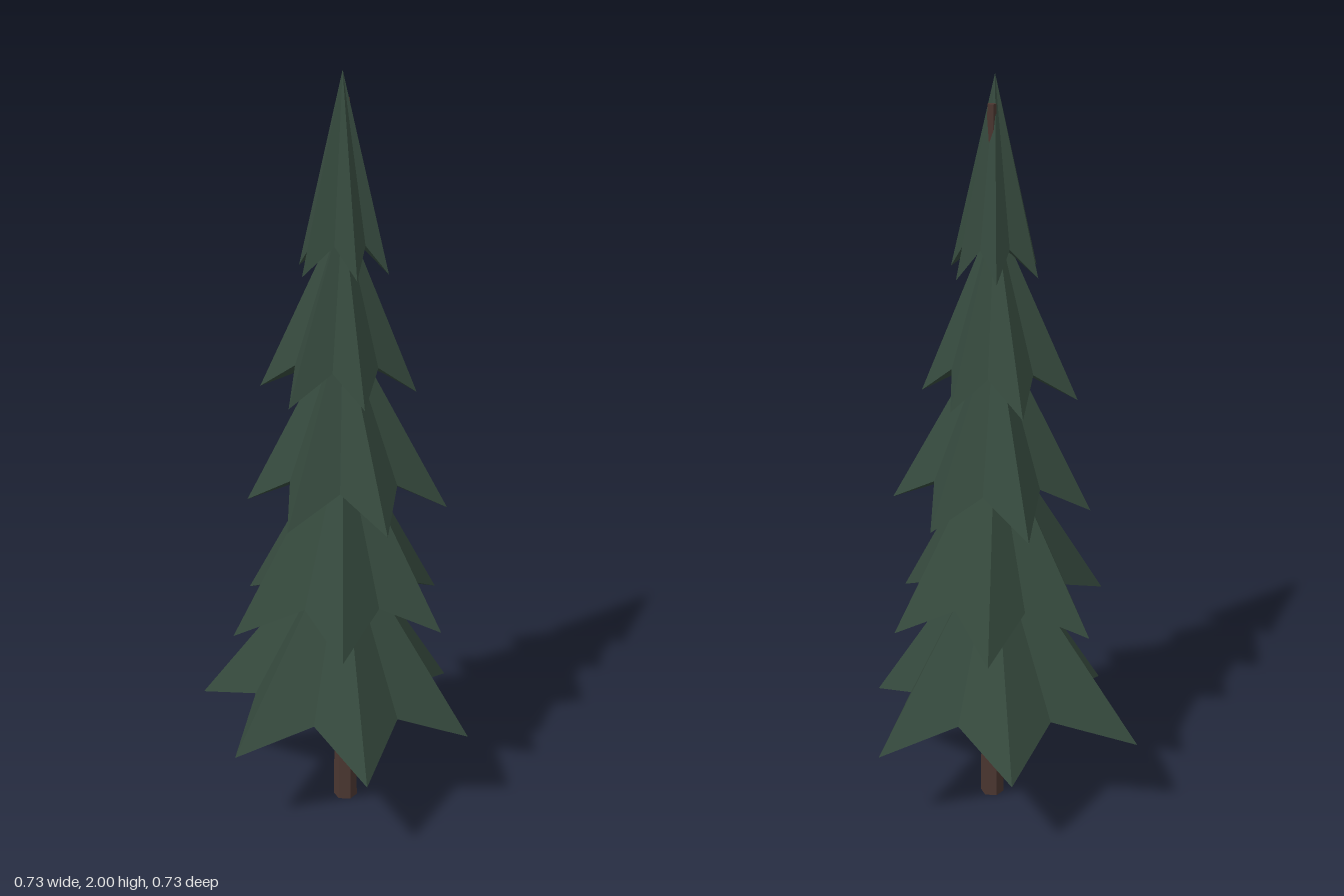
import * as THREE from 'three';

const needles = new THREE.MeshStandardMaterial({ color: 0x35493d });
needles.name = 'needleGreen';
needles.flatShading = true;
const bark = new THREE.MeshStandardMaterial({ color: 0x4b3731 });
bark.name = 'barkBrown';
bark.flatShading = true;

// Each tier: apex height, tip height, notch height, six branch tips [x, z]
// running from the left side (+x) round through the front.
const TIERS = [
  { apex: 0.8, tip: 0.245, notch: 0.33, tips: [[0.36, -0.1], [0.24, 0.25], [-0.12, 0.365], [-0.365, 0.08], [-0.3, -0.3], [0.09, -0.365]] },
  { apex: 1.09, tip: 0.565, notch: 0.645, tips: [[0.285, -0.03], [0.16, 0.235], [-0.15, 0.285], [-0.335, 0.015], [-0.175, -0.25], [0.13, -0.3]] },
  { apex: 1.38, tip: 0.875, notch: 0.96, tips: [[0.21, -0.11], [0.22, 0.145], [-0.01, 0.255], [-0.225, 0.12], [-0.225, -0.135], [0.005, -0.265]] },
  { apex: 1.66, tip: 1.185, notch: 1.265, tips: [[0.145, -0.09], [0.155, 0.09], [-0.03, 0.165], [-0.195, 0.07], [-0.185, -0.13], [0, -0.21]] },
  { apex: 2.0, tip: 1.505, notch: 1.58, tips: [[0.105, -0.03], [0.07, 0.095], [-0.03, 0.12], [-0.135, 0.025], [-0.09, -0.09], [0.03, -0.11]] },
];

// Star-shaped cone with a shallow hollow underside
function starTier({ apex, tip, notch, tips }) {
  const rim = [];
  tips.forEach(([x, z], i) => {
    const [nx, nz] = tips[(i + 1) % tips.length];
    rim.push([x, tip, z]);
    rim.push([(x + nx) * 0.355, notch, (z + nz) * 0.355]); // notch between two tips
  });
  const top = [-0.012, apex, 0.002];
  const under = [0, notch + 0.02, 0];
  const positions = [];
  rim.forEach((a, i) => {
    const b = rim[(i + 1) % rim.length];
    positions.push(...top, ...b, ...a);
    positions.push(...under, ...a, ...b);
  });
  const geometry = new THREE.BufferGeometry();
  geometry.setAttribute('position', new THREE.Float32BufferAttribute(positions, 3));
  geometry.computeVertexNormals();
  return geometry;
}

export function createModel() {
  const tree = new THREE.Group();
  tree.name = 'pineTree';

  // Tapered six-sided trunk, leaning slightly so its end shows beside the top
  const height = 1.93;
  const trunkGeometry = new THREE.CylinderGeometry(0.011, 0.032, height, 6);
  trunkGeometry.translate(0, height / 2, 0);
  const p = trunkGeometry.attributes.position;
  for (let i = 0; i < p.count; i++) {
    const t = p.getY(i) / height;
    p.setX(i, p.getX(i) - 0.004 + 0.006 * t);
    p.setZ(i, p.getZ(i) - 0.012 * t);
  }
  trunkGeometry.computeVertexNormals();
  const trunk = new THREE.Mesh(trunkGeometry, bark);
  trunk.name = 'trunk';
  tree.add(trunk);

  // Stacked branch tiers
  TIERS.forEach((tier, i) => {
    const mesh = new THREE.Mesh(starTier(tier), needles);
    mesh.name = `branchTier${i + 1}`;
    tree.add(mesh);
  });

  return tree;
}
